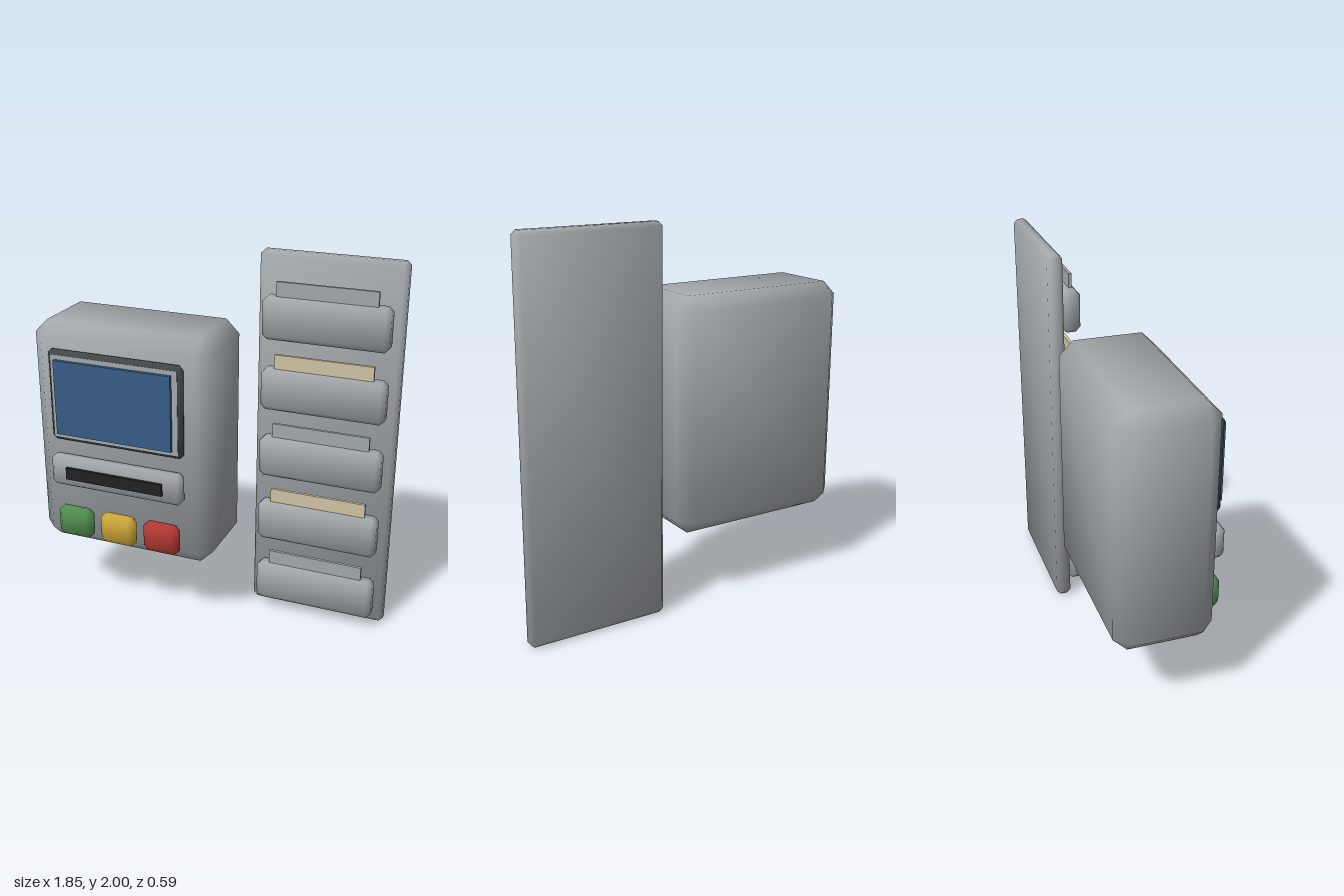
import * as THREE from 'three';
import { ConvexGeometry } from 'three/addons/geometries/ConvexGeometry.js';

const mat = (name, color) => {
  const m = new THREE.MeshStandardMaterial({ color });
  m.name = name;
  return m;
};

// Box with a single chamfer on every edge and smooth normals across it
function chamferBox(w, h, d, c) {
  const half = [w / 2, h / 2, d / 2];
  const points = [];
  for (const sx of [-1, 1]) for (const sy of [-1, 1]) for (const sz of [-1, 1]) {
    for (let axis = 0; axis < 3; axis++) {
      const p = [sx, sy, sz].map((s, i) => s * (i === axis ? half[i] : half[i] - c));
      points.push(new THREE.Vector3(...p));
    }
  }
  const geo = new ConvexGeometry(points);
  const pos = geo.attributes.position, nor = geo.attributes.normal;
  const n = new THREE.Vector3();
  for (let i = 0; i < pos.count; i++) {
    const p = [pos.getX(i), pos.getY(i), pos.getZ(i)];
    // Average of the face, edge and corner directions meeting here
    n.set(...p.map((v, k) => Math.sign(v) * (half[k] - Math.abs(v) < c / 2 ? 3 : 1.28))).normalize();
    nor.setXYZ(i, n.x, n.y, n.z);
  }
  return geo;
}

export function createModel() {
  const grey = mat('grey metal', 0xa3a8ab);
  const dark = mat('dark bezel', 0x43484b);
  const blue = mat('blue screen', 0x365c87);
  const black = mat('black slot', 0x222222);
  const green = mat('green button', 0x528f52);
  const yellow = mat('yellow button', 0xcfa93a);
  const red = mat('red button', 0xb43a34);
  const cream = mat('cream card', 0xd0c4a5);

  const model = new THREE.Group();
  model.name = 'timeClockWithCardRack';

  // Adds a box from its [min, max] range on each axis; chamfer 0 is a plain box
  const add = (parent, name, material, x, y, z, chamfer = 0) => {
    const size = [x, y, z].map(([a, b]) => b - a);
    const geo = chamfer ? chamferBox(...size, chamfer) : new THREE.BoxGeometry(...size);
    const mesh = new THREE.Mesh(geo, material);
    mesh.name = name;
    mesh.position.set(...[x, y, z].map(([a, b]) => (a + b) / 2));
    parent.add(mesh);
  };

  // Clock unit: housing, screen and card reader
  const clock = new THREE.Group();
  clock.name = 'clock';
  model.add(clock);
  add(clock, 'housing', grey, [-0.925, 0.07], [0.38, 1.625], [-0.295, 0.205], 0.072);
  add(clock, 'screenBezel', dark, [-0.802, -0.053], [1.007, 1.505], [0.2, 0.25], 0.022);
  add(clock, 'screenSurround', grey, [-0.78, -0.075], [1.03, 1.482], [0.246, 0.252]);
  add(clock, 'screen', blue, [-0.755, -0.105], [1.053, 1.457], [0.245, 0.27]);
  add(clock, 'cardReader', grey, [-0.802, -0.053], [0.758, 0.928], [0.205, 0.28], 0.022);
  add(clock, 'cardSlot', black, [-0.702, -0.152], [0.81, 0.876], [0.265, 0.295]);

  // Row of buttons
  [green, yellow, red].forEach((m, i) => {
    const x = -0.68 + i * 0.251;
    add(clock, 'button' + (i + 1), m, [x - 0.1, x + 0.1], [0.456, 0.626], [0.205, 0.28], 0.027);
  });

  // Card rack: back board with a column of pockets, each holding a card
  const rack = new THREE.Group();
  rack.name = 'cardRack';
  model.add(rack);
  add(rack, 'backBoard', grey, [0.175, 0.922], [0, 2], [-0.292, -0.213], 0.022);
  for (let i = 0; i < 5; i++) {
    const y = 0.064 + i * 0.3765;
    add(rack, 'pocket' + (i + 1), grey, [0.223, 0.873], [y, y + 0.222], [-0.21, -0.112], 0.025);
    add(rack, 'card' + (i + 1), i % 2 ? cream : grey, [0.29, 0.805], [y + 0.1, y + 0.297], [-0.158, -0.142]);
  }
  return model;
}
